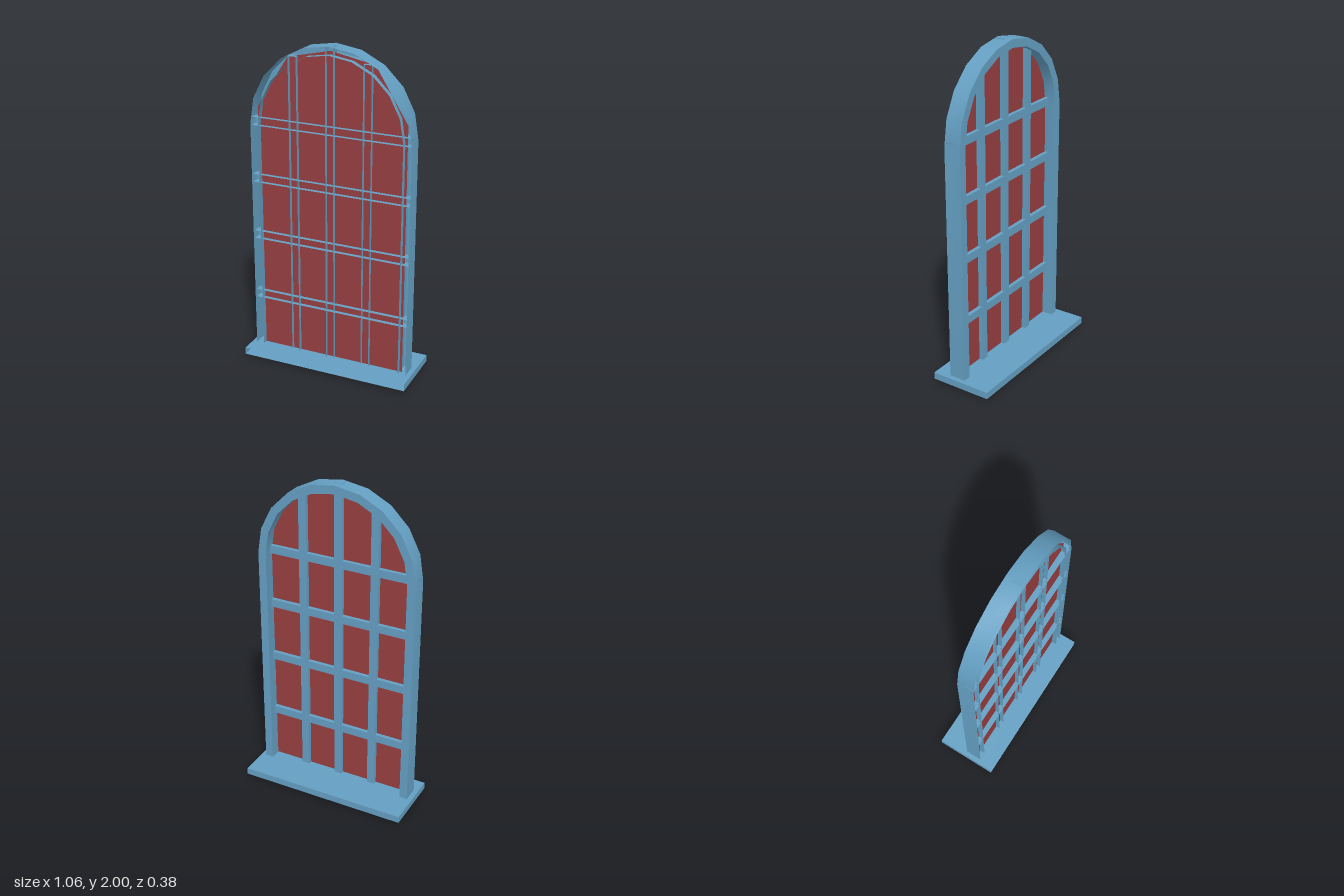
import * as THREE from 'three';
import { toCreasedNormals } from 'three/addons/utils/BufferGeometryUtils.js';

const blue = new THREE.MeshStandardMaterial({ color: 0x649fc2, side: THREE.DoubleSide });
const red = new THREE.MeshStandardMaterial({ color: 0x963e40, side: THREE.DoubleSide });

// Removes every face that points straight forward, leaving a hollow, open-fronted part
function openFront(source) {
  const geo = source.index ? source.toNonIndexed() : source;
  const pos = geo.attributes.position, normal = geo.attributes.normal;
  const kept = [];
  for (let i = 0; i < pos.count; i += 3) {
    if (normal.getZ(i) > 0.9) continue;
    for (let k = i; k < i + 3; k++) kept.push(pos.getX(k), pos.getY(k), pos.getZ(k));
  }
  const out = new THREE.BufferGeometry();
  out.setAttribute('position', new THREE.Float32BufferAttribute(kept, 3));
  return toCreasedNormals(out, 0.6);
}

function add(group, name, geometry, material) {
  const mesh = new THREE.Mesh(geometry, material);
  mesh.name = name;
  group.add(mesh);
  return mesh;
}

// Open-fronted box given by its limits
function channel(group, name, x0, x1, y0, y1, z0, z1) {
  const geo = openFront(new THREE.BoxGeometry(x1 - x0, y1 - y0, z1 - z0));
  add(group, name, geo, blue).position.set((x0 + x1) / 2, (y0 + y1) / 2, (z0 + z1) / 2);
}

// Outline of an arch: two legs and a half circle in ten steps
function archPoints(radius, bottom, spring) {
  const points = [new THREE.Vector2(radius, bottom)];
  for (let i = 0; i <= 10; i++) {
    const a = (i / 10) * Math.PI;
    points.push(new THREE.Vector2(radius * Math.cos(a), spring + radius * Math.sin(a)));
  }
  points.push(new THREE.Vector2(-radius, bottom));
  return points;
}

export function createModel() {
  const model = new THREE.Group();
  model.name = 'archedWindow';

  // Arched frame, hollow and open at the front
  const outline = [...archPoints(0.5, 0.03, 1.5), ...archPoints(0.45, 0.03, 1.5).reverse()];
  const frame = new THREE.ExtrudeGeometry(new THREE.Shape(outline), { depth: 0.104, bevelEnabled: false });
  add(model, 'frame', openFront(frame), blue).position.z = -0.01;

  // Sill
  channel(model, 'sill', -0.53, 0.53, 0.017, 0.06, -0.192, 0.192);

  // Glazing bars
  const bars = new THREE.Group();
  bars.name = 'glazingBars';
  model.add(bars);
  for (const [x, top] of [[-0.23, 1.92], [0, 2], [0.23, 1.92]]) {
    channel(bars, 'verticalBar', x - 0.025, x + 0.025, 0, top, 0.036, 0.085);
  }
  for (const y of [0.402, 0.797, 1.16, 1.512]) {
    channel(bars, 'horizontalBar', -0.497, 0.497, y - 0.025, y + 0.025, 0.036, 0.085);
  }

  // Pane, a thin sheet running through the bars
  const pane = new THREE.Shape([
    [-0.465, 0.06], [0.465, 0.06], [0.465, 1.6], [0.268, 1.917],
    [0, 1.97], [-0.268, 1.91], [-0.465, 1.6],
  ].map(([x, y]) => new THREE.Vector2(x, y)));
  add(model, 'pane', new THREE.ShapeGeometry(pane), red).position.z = 0.06;

  return model;
}
